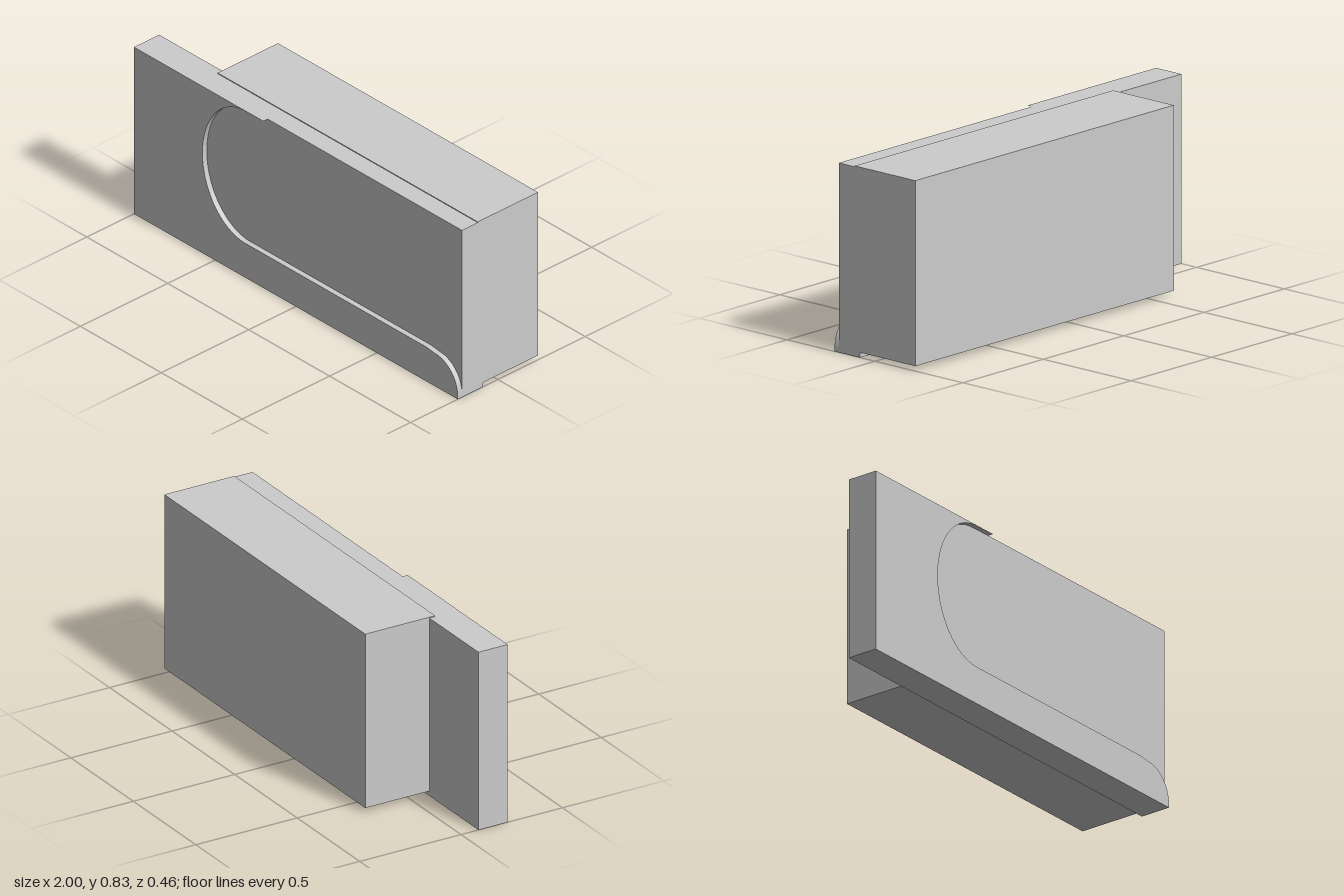
import * as THREE from 'three';

const material = new THREE.MeshStandardMaterial({ color: 0xcccccc });

// Box given by its minimum and maximum corners
function box(name, [x0, y0, z0], [x1, y1, z1]) {
  const geometry = new THREE.BoxGeometry(x1 - x0, y1 - y0, z1 - z0);
  geometry.translate((x0 + x1) / 2, (y0 + y1) / 2, (z0 + z1) / 2);
  const mesh = new THREE.Mesh(geometry, material);
  mesh.name = name;
  return mesh;
}

// Raised front layer: fills the left and bottom, leaving a round-ended recess
function createFrontRelief(top, zBack, zFront) {
  const shape = new THREE.Shape();
  shape.moveTo(-1, 0);
  shape.lineTo(1, 0);
  shape.lineTo(1, 0.015);
  // convex lower right corner
  shape.absellipse(0.86, 0.015, 0.14, 0.148, 0, Math.PI / 2, false);
  shape.lineTo(0.81, 0.17);
  // rounded left end of the recess
  shape.lineTo(-0.31, 0.17);
  shape.absellipse(-0.31, 0.497, 0.267, 0.327, -Math.PI / 2, -Math.PI * 1.5, true);
  shape.lineTo(-0.2, top);
  shape.lineTo(-1, top);
  shape.closePath();

  const geometry = new THREE.ExtrudeGeometry(shape, {
    depth: zFront - zBack, bevelEnabled: false, curveSegments: 32,
  });
  geometry.translate(0, 0, zBack);
  const mesh = new THREE.Mesh(geometry, material);
  mesh.name = 'frontRelief';
  return mesh;
}

export function createModel() {
  const model = new THREE.Group();
  model.name = 'panelWithBackBlock';
  const panelTop = 0.826;

  model.add(
    box('frontPanel', [-1, 0, 0.086], [1, panelTop, 0.205]),
    createFrontRelief(panelTop, 0.205, 0.23),
    // deep block behind the panel, slightly higher at top and bottom
    box('backBlock', [-0.607, 0.022, -0.23], [1, 0.83, 0.115]),
  );
  return model;
}
